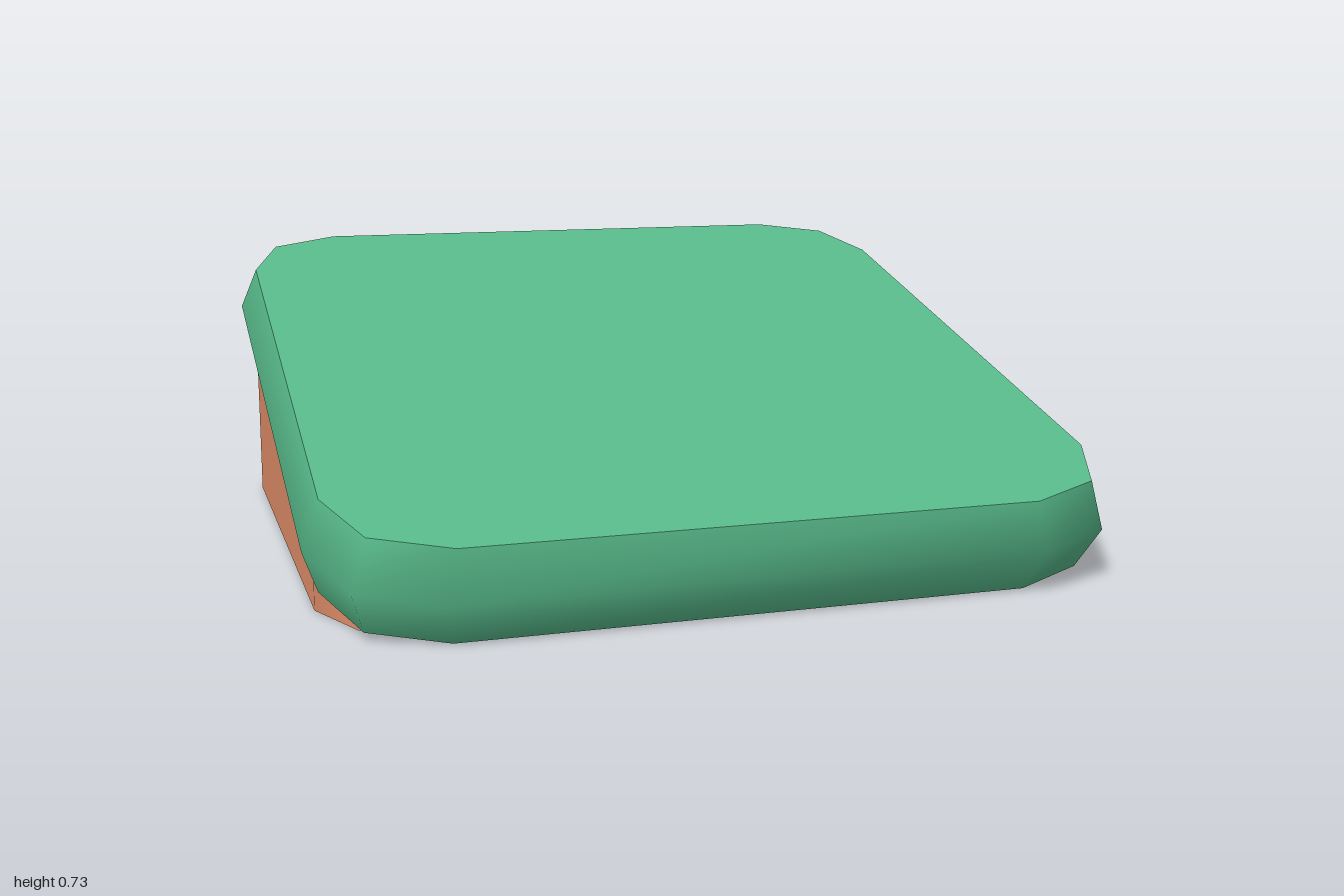
import * as THREE from 'three';

// Rectangle outline with two-facet rounded corners, in the x-z plane
function outline(halfX, halfZ, radiusX, radiusZ) {
  const points = [];
  for (let corner = 0; corner < 4; corner++) {
    const sx = corner === 0 || corner === 3 ? 1 : -1;
    const sz = corner < 2 ? 1 : -1;
    for (let step = 0; step <= 2; step++) {
      const a = (corner * 2 + step) * Math.PI / 4;
      points.push([
        sx * (halfX - radiusX) + radiusX * Math.cos(a),
        sz * (halfZ - radiusZ) + radiusZ * Math.sin(a),
      ]);
    }
  }
  return points;
}

// Smooth walls through stacked rings of [x, y, z], closed by flat caps
function loft(rings) {
  const n = rings[0].length;
  const positions = rings.flat(2);
  const index = [];
  for (let r = 0; r < rings.length - 1; r++) {
    for (let i = 0; i < n; i++) {
      const a = r * n + i, b = r * n + (i + 1) % n;
      index.push(a, a + n, b, b, a + n, b + n);
    }
  }
  const bottom = positions.length / 3;
  positions.push(...rings[0].flat(), ...rings[rings.length - 1].flat());
  const top = bottom + n;
  for (let i = 1; i < n - 1; i++) {
    index.push(bottom, bottom + i, bottom + i + 1);
    index.push(top, top + i + 1, top + i);
  }
  const geometry = new THREE.BufferGeometry();
  geometry.setAttribute('position', new THREE.Float32BufferAttribute(positions, 3));
  geometry.setIndex(index);
  geometry.computeVertexNormals();
  return geometry;
}

export function createModel() {
  const green = new THREE.MeshStandardMaterial({ name: 'green', color: 0x57b98a });
  const terracotta = new THREE.MeshStandardMaterial({ name: 'terracotta', color: 0xde8c68 });
  const model = new THREE.Group();
  model.name = 'slopedPad';

  // Tilted slab, widest at mid height
  const slabRings = [[-0.12, 0.96, 0.26], [0, 1, 0.28], [0.12, 0.96, 0.26]].map(
    ([y, half, radius]) => outline(half, half, radius, radius).map(([x, z]) => [x, y, z]));
  const slab = new THREE.Mesh(loft(slabRings), green);
  slab.name = 'slab';
  slab.rotation.x = THREE.MathUtils.degToRad(15);
  slab.position.set(0, 0.367, 0.0015);
  model.add(slab);

  // Wedge base: vertical walls cut off by a sloping top
  const back = -0.957, front = 0.81;
  const centre = (front + back) / 2;
  const footprint = outline(0.96, (front - back) / 2, 0.26, 0.25)
    .map(([x, z]) => [x, z + centre]);
  const slopeHeight = (z) => THREE.MathUtils.mapLinear(z, back, front, 0.499, 0.017);
  const wedge = new THREE.Mesh(loft([
    footprint.map(([x, z]) => [x, 0, z]),
    footprint.map(([x, z]) => [x, slopeHeight(z), z]),
  ]), terracotta);
  wedge.name = 'wedgeBase';
  model.add(wedge);

  return model;
}
